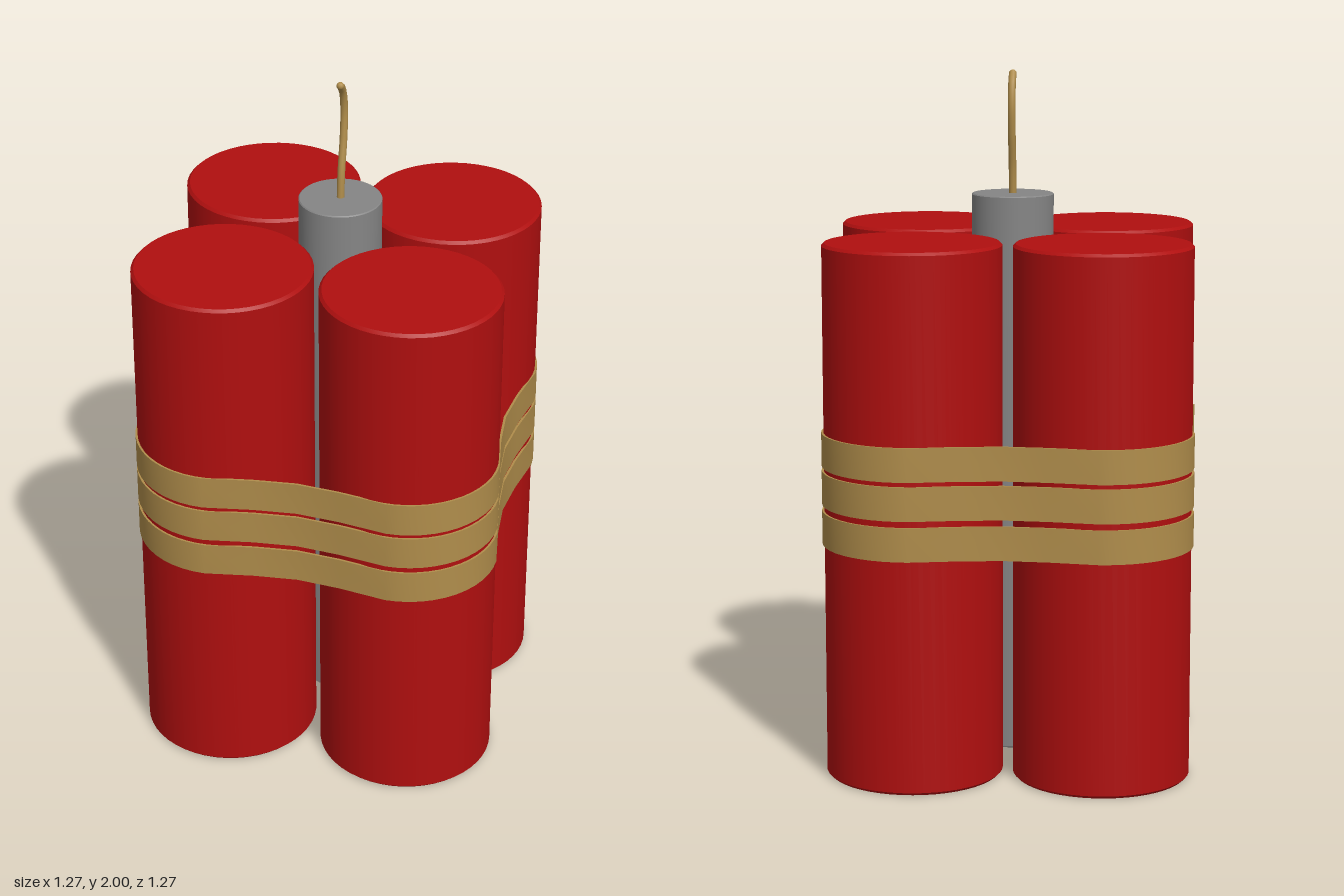
import * as THREE from 'three';
import { toCreasedNormals } from 'three/addons/utils/BufferGeometryUtils.js';

const STICK_RADIUS = 0.254;
const STICK_DISTANCE = 0.38;
const STICK_ANGLE = THREE.MathUtils.degToRad(10.9);

const polar = (r, a, cx = 0, cy = 0) => new THREE.Vector2(cx + r * Math.cos(a), cy + r * Math.sin(a));

// Solid cylinder with a tiny chamfer at both rims
function chamferedCylinder(radius, y0, y1, chamfer) {
  const profile = [
    [0, y0], [radius - chamfer, y0], [radius, y0 + chamfer],
    [radius, y1 - chamfer], [radius - chamfer, y1], [0, y1],
  ].map(([x, y]) => new THREE.Vector2(x, y));
  return toCreasedNormals(new THREE.LatheGeometry(profile, 48), 0.5);
}

// Ribbon path around the four sticks, sagging inward between them, open at one end
function bandPath(offset) {
  const deg = Math.PI / 180;
  const points = [new THREE.Vector2(-0.462, -0.325).multiplyScalar(1 + offset * 1.8)];
  for (let k = 0; k < 4; k++) {
    const a = STICK_ANGLE + (k + 3) * Math.PI / 2;
    const c = polar(STICK_DISTANCE, a);
    if (k > 0) points.push(polar(0.517 + offset, a - 59 * deg));
    points.push(polar(0.49 + offset, a - 45 * deg));
    points.push(polar(0.517 + offset, a - 31 * deg));
    for (let i = 0; i <= 12; i++) {
      points.push(polar(0.256 + offset, a + (-46 + i * 92 / 12) * deg, c.x, c.y));
    }
  }
  return points;
}

function bandGeometry(top, height) {
  const outline = [...bandPath(0.004), ...bandPath(-0.003).reverse()];
  const geometry = new THREE.ExtrudeGeometry(new THREE.Shape(outline), { depth: height, bevelEnabled: false });
  geometry.rotateX(Math.PI / 2).translate(0, top, 0);
  return toCreasedNormals(geometry, 0.6);
}

export function createModel() {
  const model = new THREE.Group();
  const red = new THREE.MeshStandardMaterial({ color: 0xb00f0f });
  const gray = new THREE.MeshStandardMaterial({ color: 0x858585 });
  const tan = new THREE.MeshStandardMaterial({ color: 0xb08d4b });
  red.name = 'red paper';
  gray.name = 'gray metal';
  tan.name = 'tan cord';

  const add = (name, geometry, material) => {
    const mesh = new THREE.Mesh(geometry, material);
    mesh.name = name;
    model.add(mesh);
    return mesh;
  };

  // Four sticks around the core
  const stickGeometry = chamferedCylinder(STICK_RADIUS, 0, 1.535, 0.008);
  for (let k = 0; k < 4; k++) {
    const p = polar(STICK_DISTANCE, STICK_ANGLE + k * Math.PI / 2);
    add('stick' + (k + 1), stickGeometry, red).position.set(p.x, 0, p.y);
  }

  // Central core
  add('core', chamferedCylinder(0.118, 0.02, 1.647, 0.003), gray);

  // Three binding bands
  [0.997, 0.887, 0.772].forEach((top, i) => add('band' + (i + 1), bandGeometry(top, 0.097), tan));

  // Curved fuse
  const curve = new THREE.CatmullRomCurve3([
    [0, 1.62, 0], [0.008, 1.72, -0.005], [0.027, 1.82, -0.017],
    [0.033, 1.9, -0.021], [0.021, 1.96, -0.013], [0, 1.992, 0],
  ].map((p) => new THREE.Vector3(...p)));
  add('fuse', new THREE.TubeGeometry(curve, 32, 0.011, 10), tan);
  const tip = add('fuseTip', new THREE.SphereGeometry(0.011, 10, 8), tan);
  tip.position.set(0, 1.989, 0);

  return model;
}
